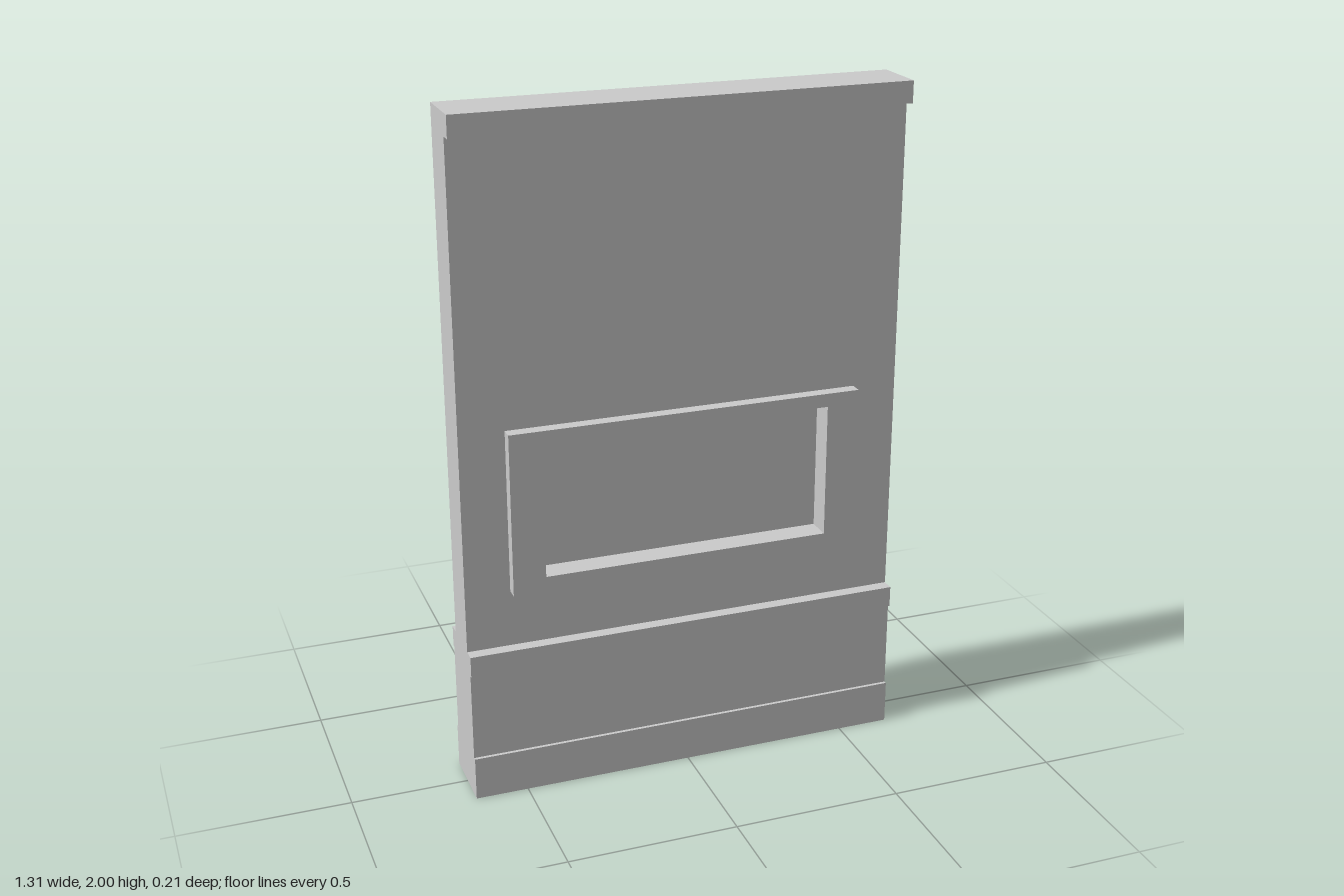
import * as THREE from 'three';

const material = new THREE.MeshStandardMaterial({ color: 0xcccccc, flatShading: true });

const HALF = 0.655;                 // half width of the panel
const FACE = 0.067;                 // wall face distance from centre
const OUT = 0.104;                  // furthest projection of the mouldings
const OPENING = [0.427, 0.675, 1.075]; // half width, bottom, top

function rectPoints([hw, y0, y1]) {
  return [[-hw, y0], [hw, y0], [hw, y1], [-hw, y1]].map(([x, y]) => new THREE.Vector2(x, y));
}

// Rectangle with the niche opening cut through, spanning z0 to z1
function piercedSlab(name, outer, z0, z1) {
  const shape = new THREE.Shape(rectPoints(outer));
  shape.holes.push(new THREE.Path(rectPoints(OPENING).reverse()));
  const geometry = new THREE.ExtrudeGeometry(shape, { depth: z1 - z0, bevelEnabled: false });
  geometry.translate(0, 0, z0);
  const mesh = new THREE.Mesh(geometry, material);
  mesh.name = name;
  return mesh;
}

function block(name, hw, y0, y1, z0, z1) {
  const mesh = new THREE.Mesh(new THREE.BoxGeometry(2 * hw, y1 - y0, z1 - z0), material);
  mesh.position.set(0, (y0 + y1) / 2, (z0 + z1) / 2);
  mesh.name = name;
  return mesh;
}

export function createModel() {
  const group = new THREE.Group();
  group.name = 'wallPanel';

  // Main wall and the recessed niche floor shared by both sides
  group.add(piercedSlab('wall', [HALF, 0.46, 2], -FACE, FACE));
  group.add(block('nichePanel', OPENING[0], OPENING[1], OPENING[2], -0.03, 0.03));

  // Raised frames around the niche, front and back
  const frame = [0.523, 0.63, 1.115];
  group.add(piercedSlab('frontFrame', frame, FACE, OUT));
  group.add(piercedSlab('backFrame', frame, -OUT, -FACE));

  // Cornice, on the front only
  group.add(block('cornice', HALF, 1.937, 2, FACE, OUT));

  // Plinth: skirting, dado and ledge as one profile run along x
  const side = [[OUT, 0], [OUT, 0.13], [0.094, 0.13], [0.094, 0.397], [OUT, 0.397], [OUT, 0.46]];
  const profile = [...side, ...side.map(([z, y]) => [-z, y]).reverse()];
  const shape = new THREE.Shape(profile.map(([z, y]) => new THREE.Vector2(z, y)));
  const geometry = new THREE.ExtrudeGeometry(shape, { depth: 2 * HALF, bevelEnabled: false });
  geometry.translate(0, 0, -HALF).rotateY(Math.PI / 2);
  const plinth = new THREE.Mesh(geometry, material);
  plinth.name = 'plinth';
  group.add(plinth);

  return group;
}
